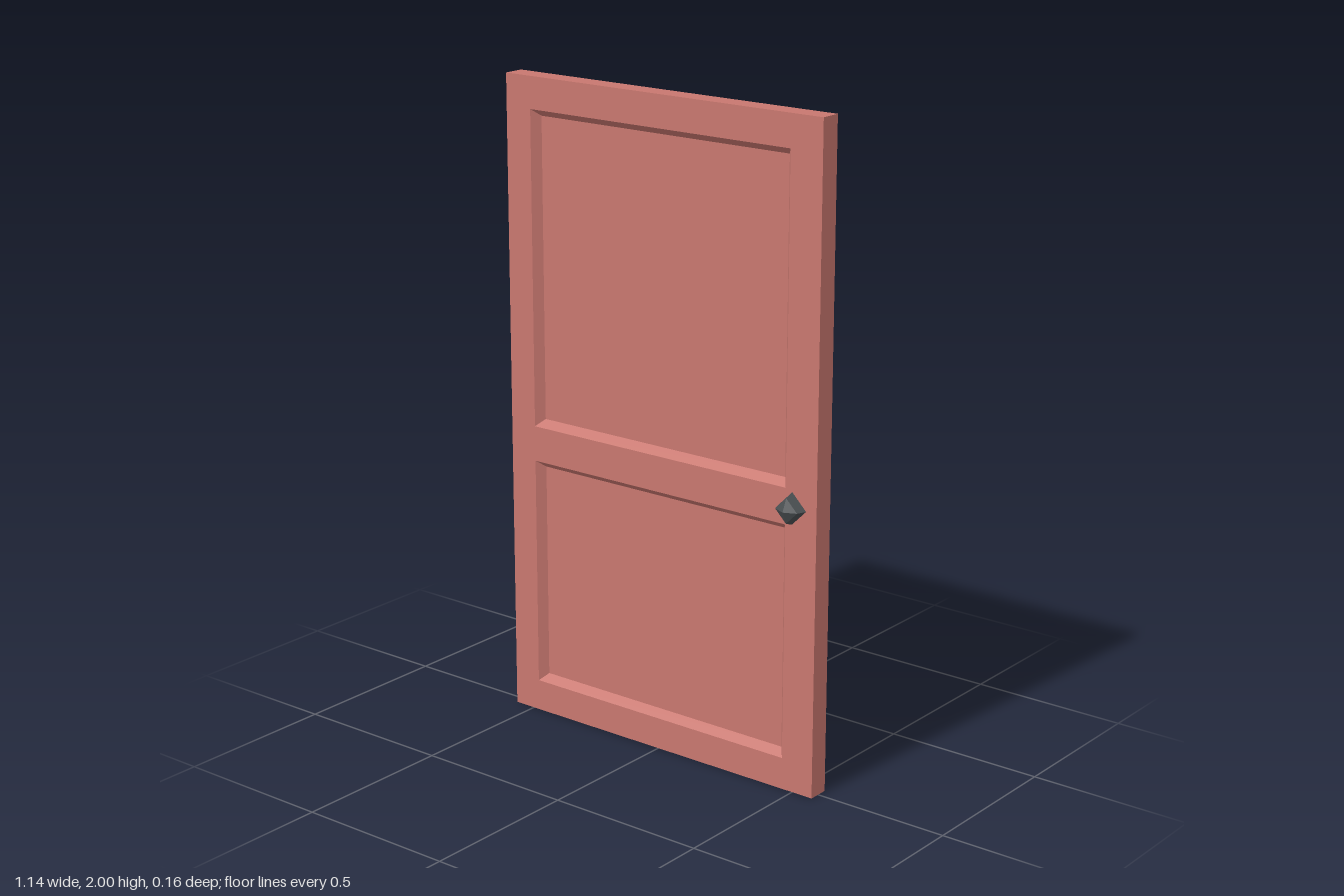
import * as THREE from 'three';

const HALF_W = 0.57, HEIGHT = 2, HALF_T = 0.033;
const DEPTH = 0.026, SLOPE = 0.021;
// Recess rims: x0, x1, y0, y1
const RECESSES = [
  [-0.478, 0.462, 0.93, 1.902],
  [-0.478, 0.462, 0.098, 0.82],
];

// Corners of a rectangle, counter-clockwise
const rect = (x0, x1, y0, y1) => [[x0, y0], [x1, y0], [x1, y1], [x0, y1]];

// Four flat quads joining one rectangle to another at a different depth
function band(a, za, b, zb) {
  const pos = [];
  for (let i = 0; i < 4; i++) {
    const j = (i + 1) % 4;
    const A = [...a[i], za], B = [...a[j], za], C = [...b[j], zb], D = [...b[i], zb];
    pos.push(...A, ...B, ...C, ...A, ...C, ...D);
  }
  const geo = new THREE.BufferGeometry();
  geo.setAttribute('position', new THREE.Float32BufferAttribute(pos, 3));
  geo.computeVertexNormals();
  return geo;
}

const toPath = (points, Type) => new Type(points.map(([x, y]) => new THREE.Vector2(x, y)));

export function createModel() {
  const model = new THREE.Group();
  model.name = 'door';
  const paint = new THREE.MeshStandardMaterial({ color: 0xc8776f });
  paint.name = 'red paint';
  const metal = new THREE.MeshStandardMaterial({ color: 0x4a4f52, flatShading: true });
  metal.name = 'dark metal';

  const add = (parent, geo, mat, name) => {
    const mesh = new THREE.Mesh(geo, mat);
    mesh.name = name;
    parent.add(mesh);
    return mesh;
  };

  // Outer edges of the slab
  const outline = rect(-HALF_W, HALF_W, 0, HEIGHT);
  add(model, band(outline, -HALF_T, outline, HALF_T), paint, 'doorEdges');

  // Front face, then the back face as its mirror turned round
  for (const side of [1, -1]) {
    const face = new THREE.Group();
    face.name = side > 0 ? 'frontFace' : 'backFace';
    const frame = toPath(outline, THREE.Shape);
    for (const [l, r, y0, y1] of RECESSES) {
      const [x0, x1] = side > 0 ? [l, r] : [-r, -l];
      const rim = rect(x0, x1, y0, y1);
      const inner = rect(x0 + SLOPE, x1 - SLOPE, y0 + SLOPE, y1 - SLOPE);
      frame.holes.push(toPath(rim, THREE.Path));
      add(face, band(rim, HALF_T, inner, HALF_T - DEPTH), paint, 'panelBevel');
      const panel = new THREE.ShapeGeometry(toPath(inner, THREE.Shape));
      add(face, panel, paint, 'panel').position.z = HALF_T - DEPTH;
    }
    add(face, new THREE.ShapeGeometry(frame), paint, 'frame').position.z = HALF_T;
    if (side < 0) face.rotation.y = Math.PI;
    model.add(face);
  }

  // Four-sided knob passing through the slab
  const profile = [[0, -0.079], [0.038, -0.062], [0.049, -0.032], [0.049, 0.032], [0.038, 0.062], [0, 0.079]]
    .map(([r, z]) => new THREE.Vector2(r, z));
  const knob = add(model, new THREE.LatheGeometry(profile, 4), metal, 'knob');
  knob.rotation.x = Math.PI / 2;
  knob.position.set(0.485, 0.873, 0);

  return model;
}
